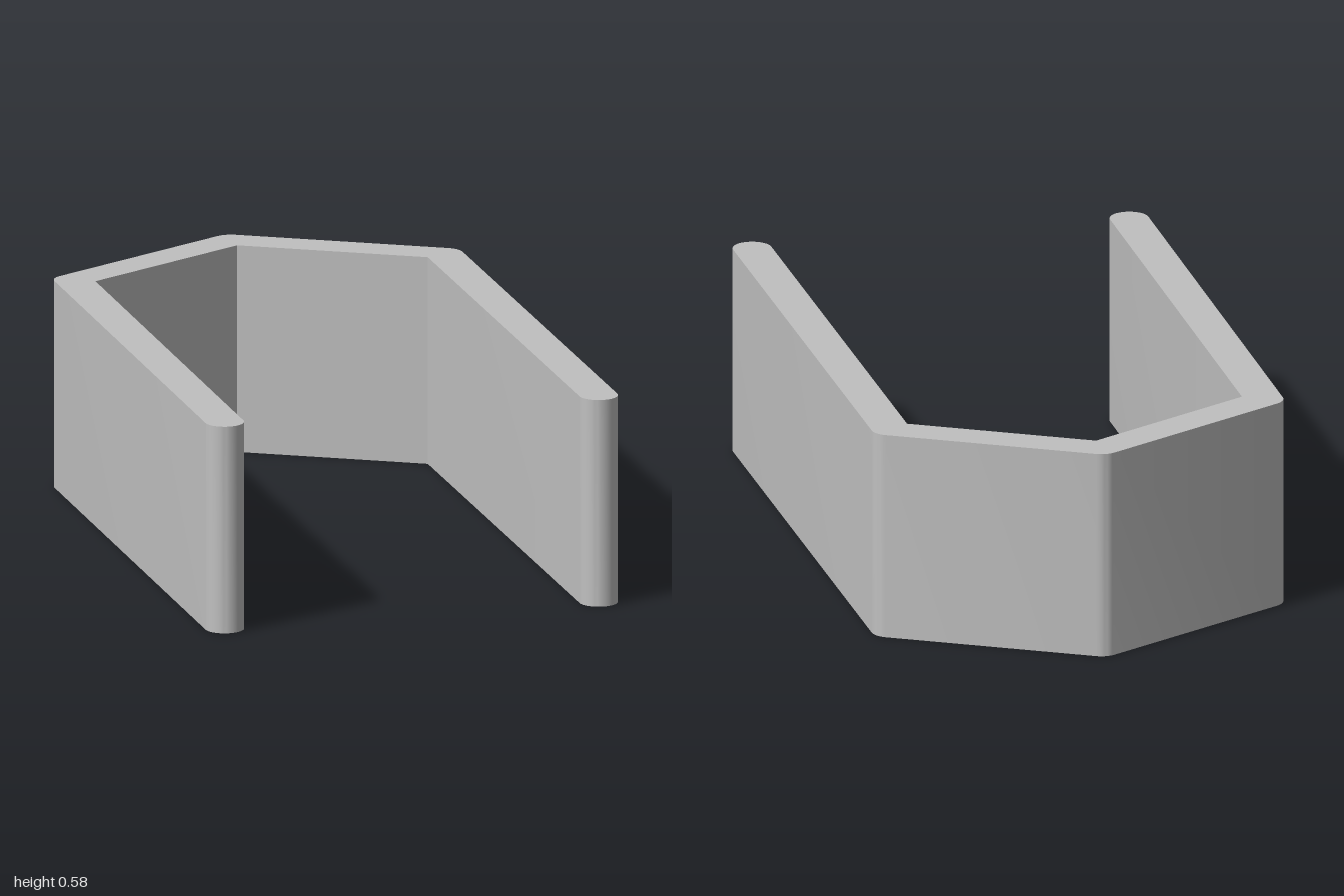
import * as THREE from 'three';
import { toCreasedNormals } from 'three/addons/utils/BufferGeometryUtils.js';

const HEIGHT = 0.577;
const RADIUS = 0.053;        // half the wall thickness
const HOLE_RADIUS = 0.032;
const HOLE_DEPTH = 0.14;

// Centre line of the bent wall, seen from above as (x, -z)
const path = [[-0.268, 0.947], [-0.73, -0.515], [-0.32, -0.947], [0.257, -0.83], [0.73, 0.632]]
  .map(([x, z]) => new THREE.Vector2(x, -z));

// Offset the centre line on both sides: round outer corners and ends, sharp inner corners
function wallOutline() {
  const loop = [...path, ...path.slice(1, -1).reverse()];
  const points = [];
  loop.forEach((p, i) => {
    const d1 = p.clone().sub(loop[(i + loop.length - 1) % loop.length]).normalize();
    const d2 = loop[(i + 1) % loop.length].clone().sub(p).normalize();
    const n1 = new THREE.Vector2(d1.y, -d1.x);
    const n2 = new THREE.Vector2(d2.y, -d2.x);
    const turn = d1.dot(d2) < -0.99 ? Math.PI : Math.atan2(d1.cross(d2), d1.dot(d2));
    if (turn > 0) {
      const steps = Math.ceil(turn / 0.16);
      for (let k = 0; k <= steps; k++) {
        const a = n1.angle() + turn * k / steps;
        points.push(new THREE.Vector2(p.x + RADIUS * Math.cos(a), p.y + RADIUS * Math.sin(a)));
      }
    } else {
      points.push(p.clone().addScaledVector(n1.clone().add(n2), RADIUS / (1 + n1.dot(n2))));
    }
  });
  return points;
}

// Extrude upwards and keep either the bottom cap or everything else
function extrudePart(shape, keepBottom) {
  const solid = new THREE.ExtrudeGeometry(shape, { depth: HEIGHT, bevelEnabled: false });
  solid.rotateX(-Math.PI / 2);
  const split = solid.groups[0].count / 2 * 3;
  const all = solid.attributes.position.array;
  const geometry = new THREE.BufferGeometry();
  geometry.setAttribute('position', new THREE.BufferAttribute(
    keepBottom ? all.slice(0, split) : all.slice(split), 3));
  geometry.computeVertexNormals();
  return toCreasedNormals(geometry, 0.5);
}

export function createModel() {
  const group = new THREE.Group();
  group.name = 'bentWallBracket';
  const grey = new THREE.MeshStandardMaterial({ color: 0xc0c0c0 });
  grey.name = 'lightGrey';

  const add = (name, geometry) => {
    const mesh = new THREE.Mesh(geometry, grey);
    mesh.name = name;
    group.add(mesh);
    return mesh;
  };

  // Bent wall: sides and top
  const outline = wallOutline();
  add('wall', extrudePart(new THREE.Shape(outline), false));

  // Two blind holes under each arm, near its tip and near its bend
  const arms = [[path[0], path[1]], [path[4], path[3]]];
  const centres = arms.flatMap(([tip, bend]) =>
    [0.117, 0.966].map(t => tip.clone().lerp(bend, t)));

  const bottom = new THREE.Shape(outline);
  for (const c of centres) {
    bottom.holes.push(new THREE.Path().absarc(c.x, c.y, HOLE_RADIUS, 0, Math.PI * 2, true));
  }
  add('underside', extrudePart(bottom, true));

  // Hole linings, facing inwards, with a flat end
  const lining = toCreasedNormals(new THREE.LatheGeometry([
    new THREE.Vector2(0, HOLE_DEPTH),
    new THREE.Vector2(HOLE_RADIUS, HOLE_DEPTH),
    new THREE.Vector2(HOLE_RADIUS, 0),
  ], 24), 0.6);
  centres.forEach(c => add('blindHole', lining).position.set(c.x, 0, -c.y));

  return group;
}
